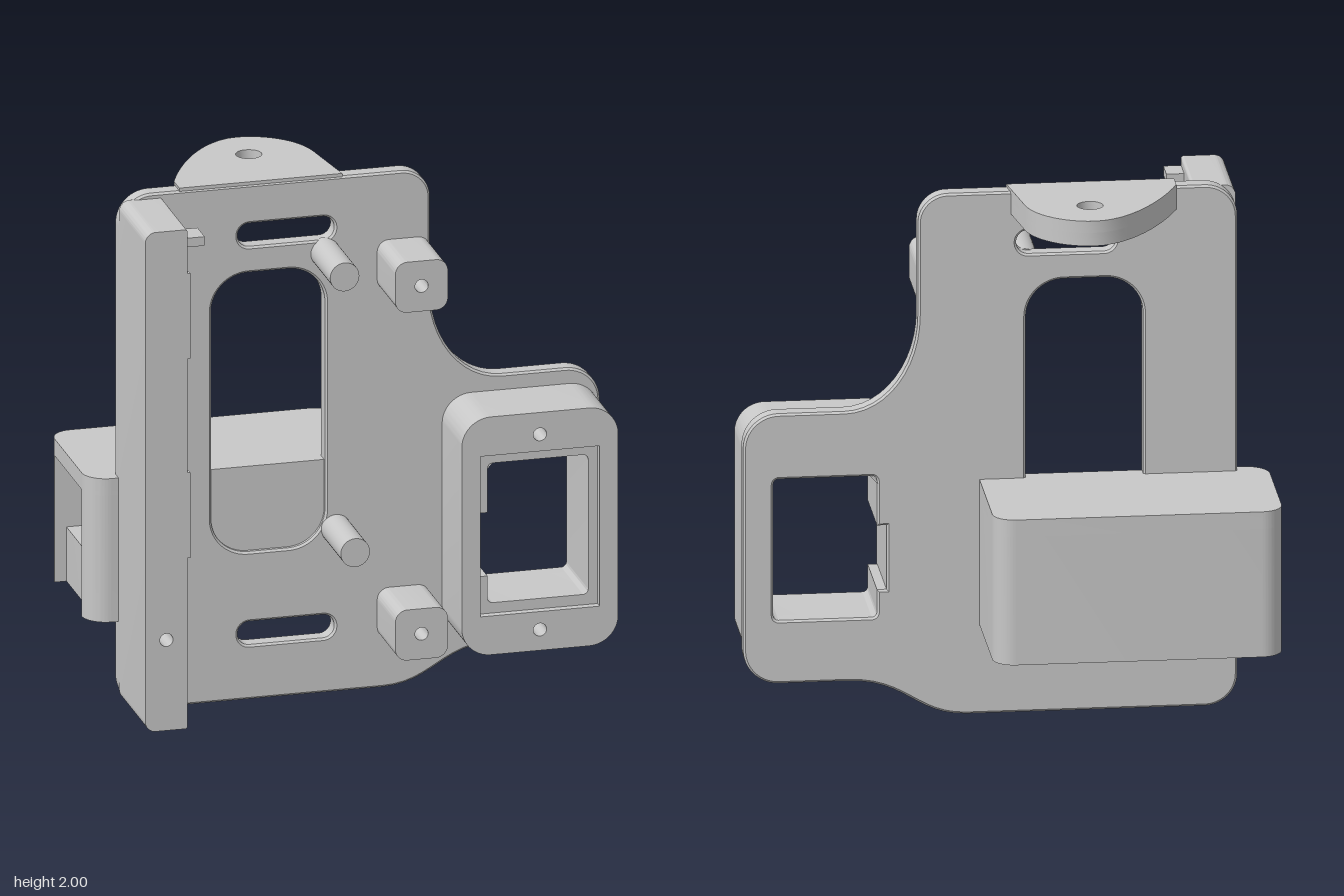
import * as THREE from 'three';
import { toCreasedNormals } from 'three/addons/utils/BufferGeometryUtils.js';

const grey = new THREE.MeshStandardMaterial({ color: 0xc8c8c8 });
grey.name = 'grey';

// Rounded rectangle; corner radii run bottom-left, bottom-right, top-right, top-left
function rounded(x0, y0, x1, y1, r, Type = THREE.Shape) {
  const [a, b, c, d] = Array.isArray(r) ? r : [r, r, r, r];
  const s = new Type();
  const H = Math.PI / 2;
  s.moveTo(x0 + a, y0);
  s.lineTo(x1 - b, y0);
  if (b) s.absarc(x1 - b, y0 + b, b, -H, 0, false);
  s.lineTo(x1, y1 - c);
  if (c) s.absarc(x1 - c, y1 - c, c, 0, H, false);
  s.lineTo(x0 + d, y1);
  if (d) s.absarc(x0 + d, y1 - d, d, H, 2 * H, false);
  s.lineTo(x0, y0 + a);
  if (a) s.absarc(x0 + a, y0 + a, a, 2 * H, 3 * H, false);
  return s;
}

const circle = (x, y, r) => new THREE.Path().absarc(x, y, r, 0, Math.PI * 2, true);

function extrude(shape, holes, depth, bevel = 0) {
  shape.holes.push(...holes);
  return new THREE.ExtrudeGeometry(shape, {
    depth: depth - 2 * bevel, curveSegments: 12, bevelEnabled: bevel > 0,
    bevelSize: bevel, bevelThickness: bevel, bevelOffset: -bevel, bevelSegments: 1,
  }).translate(0, 0, bevel);
}

export function createModel() {
  const model = new THREE.Group();
  model.name = 'mountingBracket';

  function add(name, geometry) {
    const mesh = new THREE.Mesh(toCreasedNormals(geometry, 0.4), grey);
    mesh.name = name;
    model.add(mesh);
  }
  // Drawn in x and y, from z0 forward to z1
  const upright = (name, shape, holes, z0, z1, bevel) =>
    add(name, extrude(shape, holes, z1 - z0, bevel).translate(0, 0, z0));
  // Drawn in x and z, from y0 up to y1
  const level = (name, shape, holes, y0, y1) =>
    add(name, extrude(shape, holes, y1 - y0).rotateX(Math.PI / 2).translate(0, y1, 0));
  const box = (name, x0, x1, y0, y1, z0, z1) =>
    add(name, new THREE.BoxGeometry(x1 - x0, y1 - y0, z1 - z0)
      .translate((x0 + x1) / 2, (y0 + y1) / 2, (z0 + z1) / 2));

  // Opening with a side notch, shared by the plate and the side housing
  const notchedOpening = () => {
    const p = rounded(0.47, 0.38, 0.85, 0.92, 0.02, THREE.Path);
    p.curves.pop();
    p.curves.pop();
    p.currentPoint.set(0.49, 0.92);
    p.absarc(0.49, 0.9, 0.02, Math.PI / 2, Math.PI, false);
    for (const [x, y] of [[0.47, 0.73], [0.435, 0.73], [0.435, 0.485], [0.47, 0.485], [0.47, 0.4]]) {
      p.lineTo(x, y);
    }
    p.absarc(0.49, 0.4, 0.02, Math.PI, Math.PI * 1.5, false);
    return p;
  };

  // Main plate
  const plate = new THREE.Shape();
  plate.moveTo(-0.73, 0);
  plate.lineTo(0.14, 0);
  plate.bezierCurveTo(0.33, 0, 0.36, 0.14, 0.58, 0.14);
  plate.lineTo(0.83, 0.14);
  plate.absarc(0.83, 0.27, 0.13, -Math.PI / 2, 0, false);
  plate.lineTo(0.96, 1.04);
  plate.absarc(0.83, 1.04, 0.13, 0, Math.PI / 2, false);
  plate.lineTo(0.59, 1.17);
  plate.bezierCurveTo(0.44, 1.17, 0.32, 1.33, 0.32, 1.53);
  plate.lineTo(0.32, 1.88);
  plate.absarc(0.21, 1.88, 0.11, 0, Math.PI / 2, false);
  plate.lineTo(-0.73, 1.99);
  plate.absarc(-0.73, 1.87, 0.12, Math.PI / 2, Math.PI, false);
  plate.lineTo(-0.85, 0.12);
  plate.absarc(-0.73, 0.12, 0.12, Math.PI, Math.PI * 1.5, false);
  upright('mainPlate', plate, [
    rounded(-0.505, 0.57, -0.075, 1.65, 0.14, THREE.Path),
    rounded(-0.405, 1.75, -0.04, 1.84, 0.044, THREE.Path),
    rounded(-0.405, 0.21, -0.04, 0.3, 0.044, THREE.Path),
    notchedOpening(),
  ], 0.04, 0.11, 0.008);

  // Side flange with its edge tab and thin ridges
  upright('sideFlange', rounded(-0.85, 0.04, -0.69, 1.97, [0.04, 0.01, 0.01, 0.04]),
    [circle(-0.77, 0.39, 0.025)], 0.1, 0.465);
  box('flangeTab', -0.7, -0.625, 1.9, 1.935, 0.36, 0.46);
  for (const y of [0.7, 1.47]) {
    box('flangeRidge', -0.7, -0.672, y, y + 0.33, 0.365, 0.385);
    box('flangeLip', -0.69, -0.68, y, y + 0.33, 0.44, 0.465);
  }

  // Two round pegs
  for (const [x, y] of [[-0.075, 1.7], [-0.035, 0.63]]) {
    add('peg', new THREE.CylinderGeometry(0.055, 0.055, 0.29, 32)
      .rotateX(Math.PI / 2).translate(x, y, 0.235));
  }

  // Two drilled standoff blocks
  for (const y of [0.19, 1.535]) {
    upright('standoff', rounded(0.12, y, 0.318, y + 0.195, 0.045),
      [circle(0.219, y + 0.098, 0.025)], 0.1, 0.365);
  }

  // Side housing: deep frame and a shallow front recess
  const housing = () => rounded(0.365, 0.19, 0.955, 1.11, 0.11);
  const screws = () => [circle(0.66, 1.025, 0.025), circle(0.66, 0.27, 0.025)];
  upright('sideHousing', housing(), [notchedOpening(), ...screws()], 0.1, 0.355);
  upright('housingRim', housing(),
    [rounded(0.435, 0.34, 0.885, 0.96, 0, THREE.Path), ...screws()], 0.355, 0.385);

  // Top lug with a bolt hole and a hexagonal nut pocket below
  const lug = () => {
    const s = new THREE.Shape();
    s.moveTo(-0.625, 0.105);
    s.lineTo(-0.625, 0.03);
    s.bezierCurveTo(-0.56, -0.14, -0.42, -0.375, -0.28, -0.375);
    s.bezierCurveTo(-0.18, -0.375, -0.07, -0.29, -0.05, -0.16);
    s.lineTo(-0.01, 0.105);
    return s;
  };
  const hexagon = new THREE.Path([0, 1, 2, 3, 4, 5].map((i) => new THREE.Vector2(
    -0.285 + 0.1 * Math.cos(i * Math.PI / 3), -0.185 + 0.1 * Math.sin(i * Math.PI / 3))));
  level('topLug', lug(), [circle(-0.285, -0.185, 0.048)], 1.955, 2);
  level('lugNutPocket', lug(), [hexagon], 1.905, 1.955);

  // Rear housing: walls open at the bottom and at the right end, closed on top
  const walls = new THREE.Shape();
  const H = Math.PI / 2;
  walls.moveTo(-0.885, -0.46);
  walls.lineTo(0.015, -0.46);
  walls.absarc(0.015, -0.38, 0.08, -H, 0, false);
  walls.lineTo(0.095, 0.09);
  walls.lineTo(-0.875, 0.09);
  walls.absarc(-0.875, 0, 0.09, H, Math.PI, false);
  walls.lineTo(-0.08, 0);
  walls.lineTo(-0.08, -0.38);
  walls.lineTo(-0.965, -0.38);
  walls.absarc(-0.885, -0.38, 0.08, Math.PI, 3 * H, false);
  level('rearHousingWalls', walls, [circle(-0.01, -0.2, 0.025)], 0.34, 0.83);
  level('rearHousingTop', rounded(-0.965, -0.46, 0.095, 0.09, [0.08, 0.08, 0, 0.09]), [], 0.83, 0.895);
  // Drilled ledge standing in the open end, tied to the back wall
  level('rearHousingLedge', rounded(-0.92, -0.39, -0.77, -0.13, [0, 0, 0.05, 0.05]),
    [circle(-0.845, -0.2, 0.025)], 0.34, 0.55);

  return model;
}
